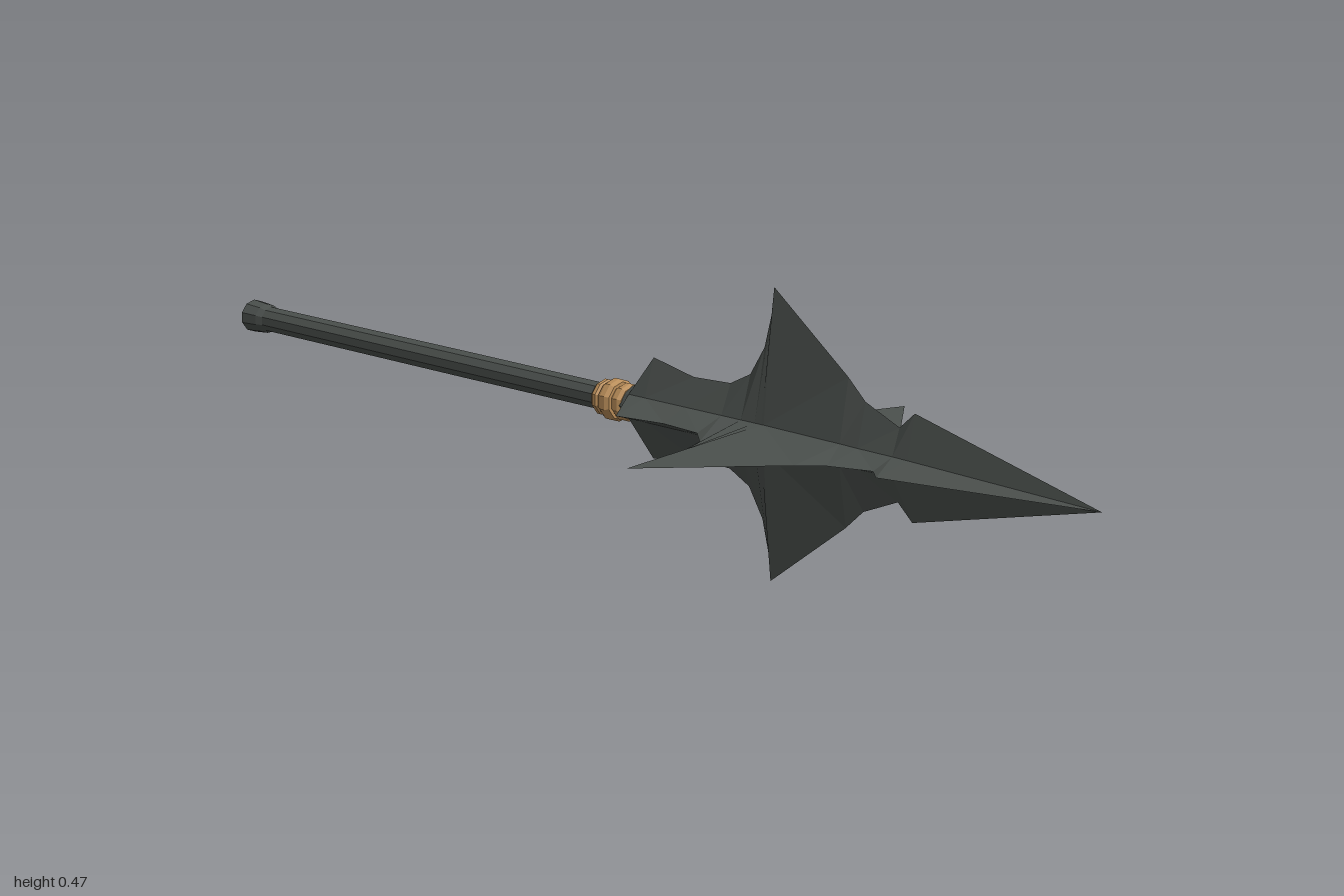
import * as THREE from 'three';

const AXIS_Y = 0.234;

// Turned part lying along x, from [x, radius] points
function turned(points, sides, material, name) {
  const geo = new THREE.LatheGeometry(points.map(([x, r]) => new THREE.Vector2(r, x)), sides);
  geo.rotateZ(-Math.PI / 2);
  geo.rotateX(Math.PI / sides);
  const mesh = new THREE.Mesh(geo, material);
  mesh.name = name;
  return mesh;
}

// Four-finned head lofted through star-shaped sections: [x, vertical fin, side fin, valley]
function starBlade(sections) {
  const rings = sections.map(([x, v, s, k]) => [
    [x, v, 0], [x, k, k], [x, 0, s], [x, -k, k],
    [x, -v, 0], [x, -k, -k], [x, 0, -s], [x, k, -k],
  ]);
  const pos = [];
  const tri = (...corners) => corners.forEach((c) => pos.push(...c));
  for (let i = 0; i < rings.length - 1; i++) {
    for (let j = 0; j < 8; j++) {
      const n = (j + 1) % 8;
      const a = rings[i][j], b = rings[i][n], c = rings[i + 1][j], d = rings[i + 1][n];
      // Split each quad the same way on both sides of a fin
      if (j % 2 === 0) tri(a, b, c, b, d, c);
      else tri(a, b, d, a, d, c);
    }
  }
  // Base cap
  for (let j = 0; j < 8; j++) tri([sections[0][0], 0, 0], rings[0][(j + 1) % 8], rings[0][j]);
  const geo = new THREE.BufferGeometry();
  geo.setAttribute('position', new THREE.Float32BufferAttribute(pos, 3));
  geo.computeVertexNormals();
  return geo;
}

export function createModel() {
  const iron = new THREE.MeshStandardMaterial({ color: 0x4a4f4c, flatShading: true });
  iron.name = 'dark iron';
  const cord = new THREE.MeshStandardMaterial({ color: 0xb98d59, flatShading: true });
  cord.name = 'tan cord';

  const group = new THREE.Group();
  group.name = 'spear';

  // Shaft with flared butt
  group.add(turned([
    [-1, 0], [-1, 0.031], [-0.96, 0.028], [-0.945, 0.024], [-0.35, 0.024], [0.06, 0.023], [0.06, 0],
  ], 10, iron, 'shaft'));

  // Cord binding: three bulging wraps
  const wraps = [[-0.018, 0.018, 0.031], [0.003, 0.026, 0.036], [0.031, 0.023, 0.032]];
  wraps.forEach(([x, w, r], i) => {
    group.add(turned([
      [x, 0.02], [x, r - 0.004], [x + w * 0.3, r], [x + w * 0.7, r], [x + w, r - 0.004], [x + w, 0.02],
    ], 10, cord, `bindingWrap${i + 1}`));
  });

  // Finned spearhead
  const blade = new THREE.Mesh(starBlade([
    [0.05, 0.028, 0.028, 0.018],
    [0.065, 0.034, 0.034, 0.02],
    [0.103, 0.084, 0.084, 0.02],
    [0.195, 0.066, 0.066, 0.02],
    [0.277, 0.069, 0.073, 0.02],
    [0.32, 0.09, 0.11, 0.02],
    [0.35, 0.137, 0.18, 0.02],
    [0.364, 0.19, 0.25, 0.02],
    [0.369, 0.234, 0.31, 0.02],
    [0.525, 0.117, 0.117, 0.017],
    [0.56, 0.085, 0.083, 0.016],
    [0.628, 0.057, 0.057, 0.015],
    [0.657, 0.083, 0.083, 0.014],
    [1, 0, 0, 0],
  ]), iron);
  blade.name = 'spearhead';
  group.add(blade);

  group.children.forEach((part) => { part.position.y = AXIS_Y; });
  return group;
}
